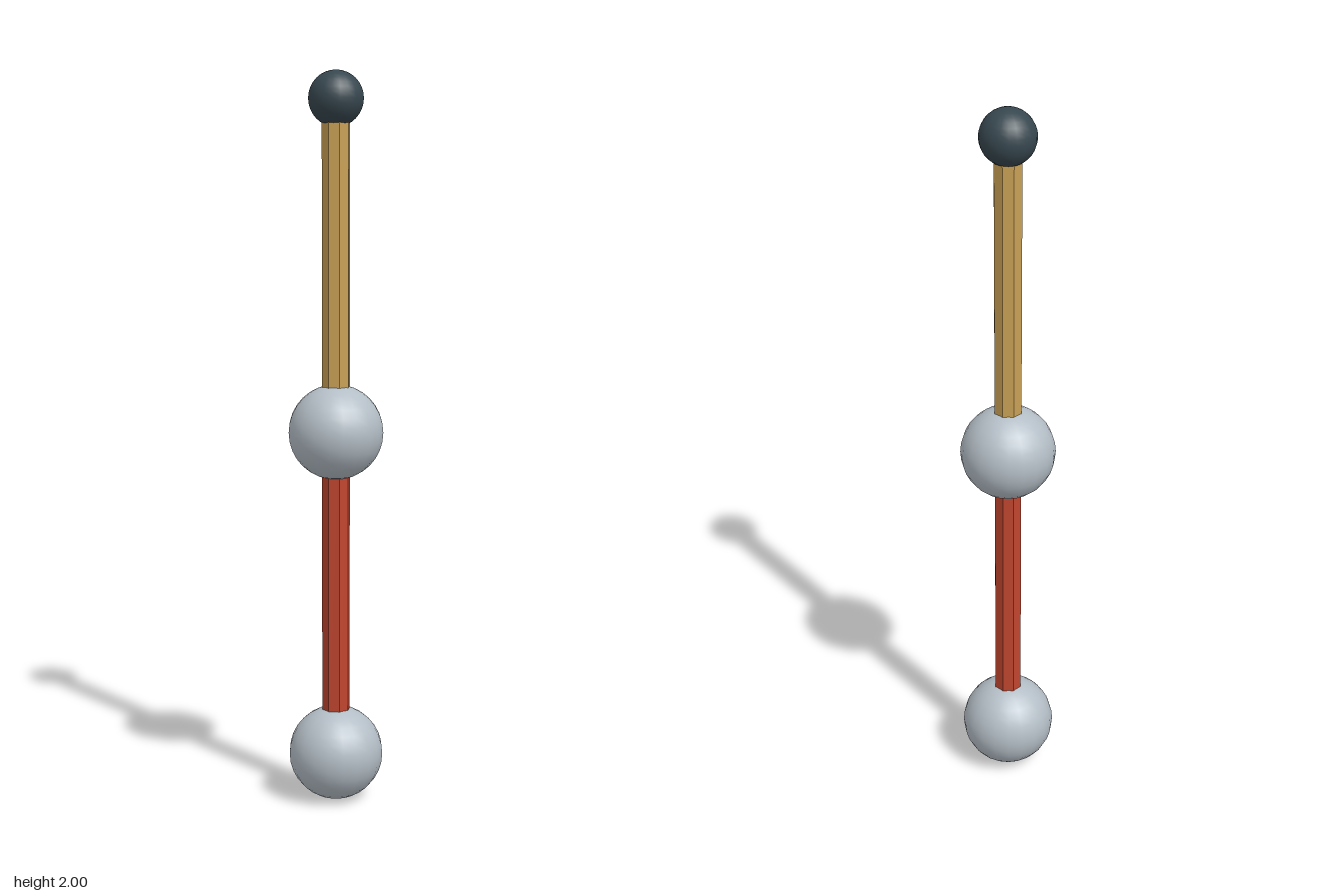
import * as THREE from 'three';

const material = (name, color) => {
  const m = new THREE.MeshStandardMaterial({ color });
  m.name = name;
  return m;
};

export function createModel() {
  const silver = material('silver grey', 0xb4bec6);
  const slate = material('dark slate', 0x37474f);
  const gold = material('brass gold', 0xc8a055);
  const red = material('brick red', 0xc0452f);

  const group = new THREE.Group();
  group.name = 'jointedRod';

  const add = (name, geometry, mat, y) => {
    const mesh = new THREE.Mesh(geometry, mat);
    mesh.name = name;
    mesh.position.y = y;
    group.add(mesh);
  };

  // Smooth balls at the foot, the joint and the tip
  const ball = (name, radius, mat, y) =>
    add(name, new THREE.SphereGeometry(radius, 20, 16), mat, y);
  ball('footBall', 0.13, silver, 0.13);
  ball('jointBall', 0.13, silver, 1.03);
  ball('tipBall', 0.075, slate, 1.925);

  // Eight-sided rods with a flat face to the front, running between ball centres
  const rod = (name, mat, from, to) => {
    const geometry = new THREE.CylinderGeometry(0.039, 0.039, to - from, 8)
      .rotateY(Math.PI / 8)
      .toNonIndexed();
    geometry.computeVertexNormals();
    add(name, geometry, mat, (from + to) / 2);
  };
  rod('lowerRod', red, 0.13, 1.03);
  rod('upperRod', gold, 1.03, 1.925);

  return group;
}
